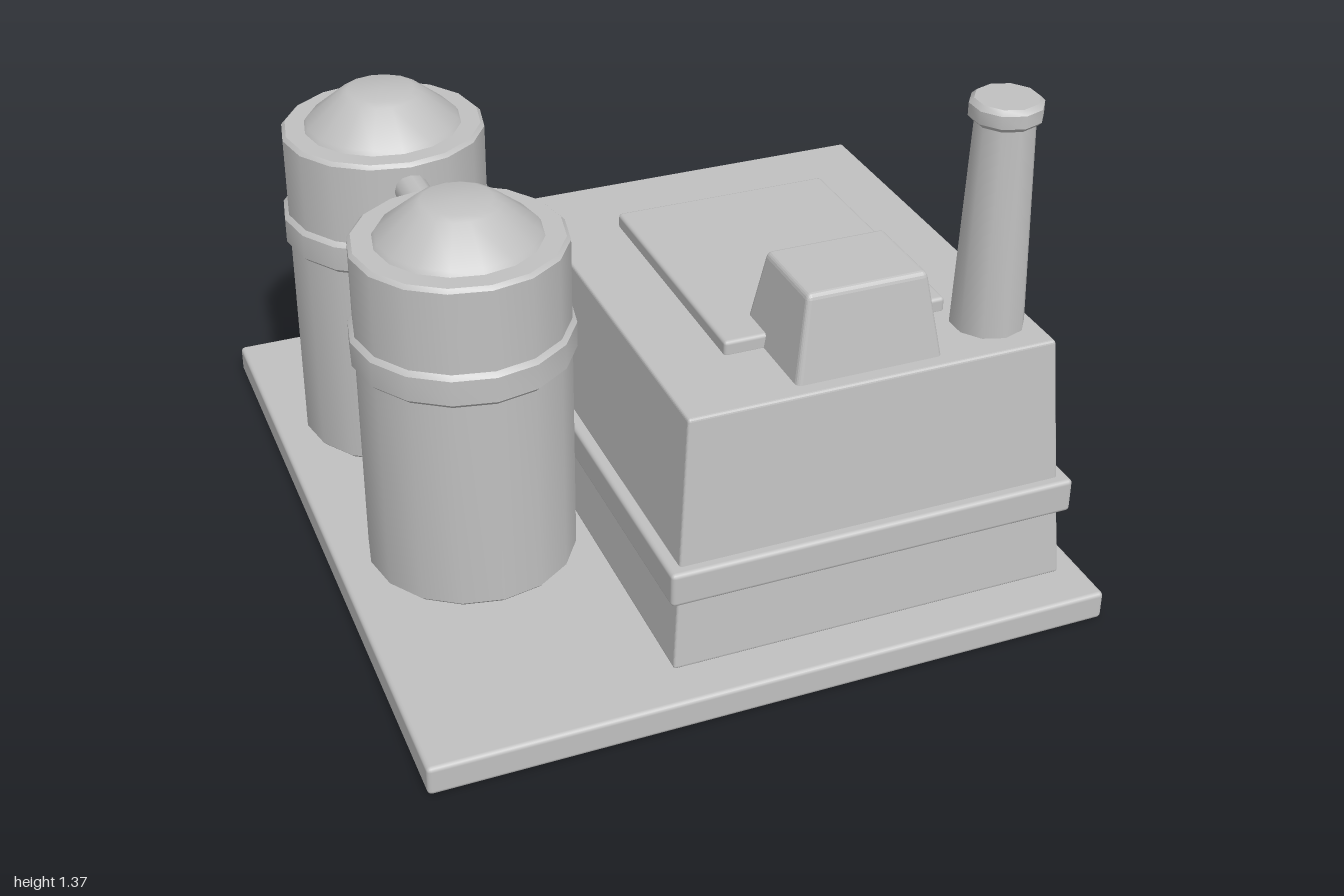
import * as THREE from 'three';
import { RoundedBoxGeometry } from 'three/addons/geometries/RoundedBoxGeometry.js';
import { toCreasedNormals } from 'three/addons/utils/BufferGeometryUtils.js';

export function createModel() {
  const model = new THREE.Group();
  model.name = 'factory';
  const grey = new THREE.MeshStandardMaterial({ color: 0xc0c0c0 });
  grey.name = 'light grey';

  function add(name, geometry, parent = model) {
    const mesh = new THREE.Mesh(geometry, grey);
    mesh.name = name;
    parent.add(mesh);
    return mesh;
  }

  // Bevelled box from its limits; each side leans in by inset at the top
  function box(name, [x0, x1], [y0, y1], [z0, z1], bevel = 0.012, inset = 0) {
    const w = x1 - x0, h = y1 - y0, d = z1 - z0;
    const geo = new RoundedBoxGeometry(w, h, d, 2, bevel);
    if (inset) {
      const p = geo.attributes.position;
      for (let i = 0; i < p.count; i++) {
        const t = p.getY(i) / h + 0.5;
        p.setX(i, p.getX(i) * (1 - 2 * inset * t / w));
        p.setZ(i, p.getZ(i) * (1 - 2 * inset * t / d));
      }
      geo.computeVertexNormals();
    }
    return add(name, geo).position.set((x0 + x1) / 2, (y0 + y1) / 2, (z0 + z1) / 2);
  }

  // Turned part, smooth around and sharp at its rims
  function turned(name, profile, sides, parent) {
    const points = profile.map(([r, y]) => new THREE.Vector2(r, y));
    return add(name, toCreasedNormals(new THREE.LatheGeometry(points, sides), 0.66), parent);
  }

  // Straight drum with chamfered rims
  const drum = (r, y0, y1, c = 0.01) =>
    [[0, y0], [r - c, y0], [r, y0 + c], [r, y1 - c], [r - c, y1], [0, y1]];

  // Ground slab
  box('base', [-0.9, 0.9], [0, 0.08], [-1, 1]);

  // Main hall with its belt
  box('hall', [-0.24, 0.835], [0.08, 0.763], [-0.405, 0.88], 0.008, 0.05);
  box('hallBand', [-0.25, 0.845], [0.275, 0.37], [-0.412, 0.887]);

  // Roof details
  box('roofPlate', [0, 0.6], [0.755, 0.8], [-0.12, 0.6], 0.01);
  box('roofVent', [0.1, 0.495], [0.74, 0.985], [0.48, 0.795], 0.015, 0.04);

  // Chimney
  const chimney = new THREE.Group();
  chimney.name = 'chimney';
  chimney.position.set(0.675, 0, 0.68);
  model.add(chimney);
  turned('chimneyStack', [[0, 0.75], [0.095, 0.75], [0.075, 1.33], [0, 1.33]], 10, chimney);
  turned('chimneyCap', drum(0.091, 1.315, 1.372, 0.012), 10, chimney);

  // Two storage tanks
  for (const z of [-0.485, 0.205]) {
    const tank = new THREE.Group();
    tank.name = z < 0 ? 'rearTank' : 'frontTank';
    tank.position.set(-0.54, 0, z);
    model.add(tank);
    turned('tankBody', drum(0.275, 0.08, 1.003), 16, tank);
    turned('tankBand', drum(0.287, 0.68, 0.772, 0.012), 16, tank);
    turned('tankDome', [[0.218, 0.995], [0.205, 1.015], [0.11, 1.093], [0.09, 1.102], [0, 1.102]], 16, tank);
  }

  // Pipes between the tanks and to the hall
  const linkPipe = add('linkPipe', new THREE.CylinderGeometry(0.045, 0.045, 0.3, 12));
  linkPipe.rotation.x = Math.PI / 2;
  linkPipe.position.set(-0.54, 0.925, -0.14);
  const hallPipe = add('hallPipe', new THREE.CylinderGeometry(0.047, 0.047, 0.4, 12));
  hallPipe.rotation.z = Math.PI / 2;
  hallPipe.position.set(-0.365, 0.682, -0.145);

  // Loading dock and door at the back
  box('dock', [-0.2, 0.8], [0.08, 0.178], [-1, -0.36]);
  box('dockPlate', [-0.06, 0.655], [0.165, 0.217], [-0.9, -0.465], 0.01);
  for (const x of [-0.2, 0.72]) {
    box('dockRail', [x, x + 0.077], [0.165, 0.207], [-1, -0.38], 0.01);
  }
  box('door', [-0.14, 0.735], [0.17, 0.583], [-0.43, -0.345]);

  return model;
}
